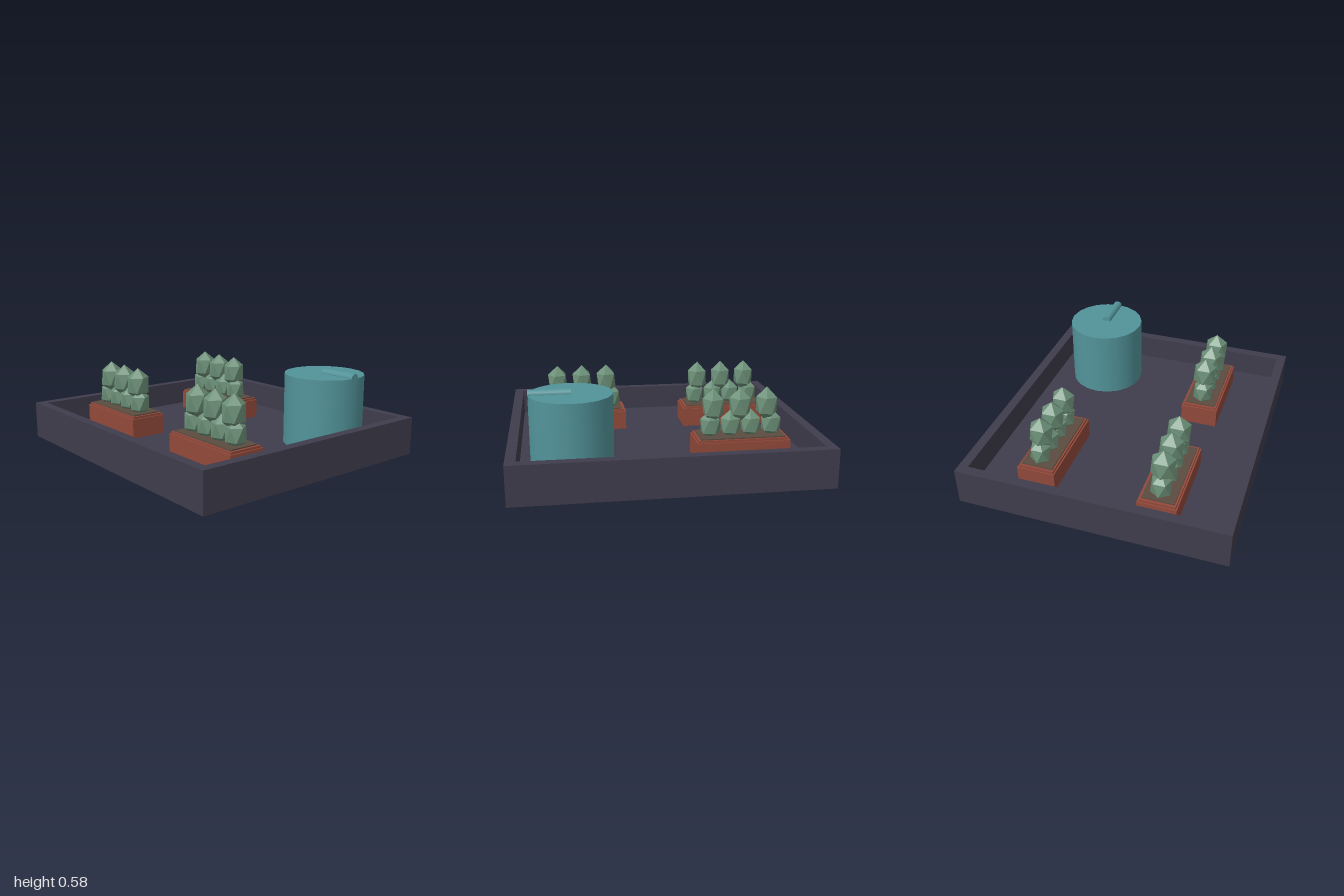
import * as THREE from 'three';

const mat = (name, color, flatShading = false) => {
  const m = new THREE.MeshStandardMaterial({ color, flatShading });
  m.name = name;
  return m;
};

export function createModel() {
  const slate = mat('slate', 0x3f3d4c);
  const teal = mat('teal', 0x52949a);
  const terracotta = mat('terracotta', 0x92493a);
  const soil = mat('soil', 0x5c4c40);
  const leaf = mat('leaf', 0x6c9078, true);

  const root = new THREE.Group();
  root.name = 'rooftopGarden';
  const add = (parent, name, geometry, material, x = 0, y = 0, z = 0) => {
    const mesh = new THREE.Mesh(geometry, material);
    mesh.name = name;
    mesh.position.set(x, y, z);
    parent.add(mesh);
    return mesh;
  };
  // box given by its bottom and top heights
  const slab = (parent, name, w, d, y0, y1, material) =>
    add(parent, name, new THREE.BoxGeometry(w, y1 - y0, d), material, 0, (y0 + y1) / 2, 0);

  // Roof: floor slab inside a parapet frame
  const FLOOR = 0.08;
  const rect = (C, w, d) => {
    const p = new C();
    p.moveTo(-w, -d).lineTo(w, -d).lineTo(w, d).lineTo(-w, d).closePath();
    return p;
  };
  const frame = rect(THREE.Shape, 1, 0.89);
  frame.holes.push(rect(THREE.Path, 0.935, 0.827));
  const parapet = new THREE.ExtrudeGeometry(frame, { depth: 0.255, bevelEnabled: false });
  parapet.rotateX(-Math.PI / 2);
  add(root, 'parapet', parapet, slate);
  slab(root, 'floor', 1.87, 1.654, 0, FLOOR, slate);

  // Water tank with a pipe half sunk into its lid
  add(root, 'waterTank', new THREE.CylinderGeometry(0.265, 0.265, 0.553 - FLOOR, 20),
    teal, 0.598, (0.553 + FLOOR) / 2, -0.447);
  const pipe = new THREE.CylinderGeometry(0.032, 0.032, 0.266, 12).rotateZ(Math.PI / 2);
  add(root, 'tankPipe', pipe, teal, 0.729, 0.553, -0.449);

  // Bush: icosahedron turned so that one corner points up
  const bush = new THREE.IcosahedronGeometry(1, 0);
  bush.rotateX(-Math.atan((1 + Math.sqrt(5)) / 2)).rotateY(Math.PI / 2);

  // Planters: stepped box, soil, a low row and a tall row of bushes
  [[-0.496, -0.427], [-0.56, 0.398], [0.484, 0.398]].forEach(([x, z]) => {
    const planter = new THREE.Group();
    planter.name = 'planter';
    planter.position.set(x, 0, z);
    root.add(planter);
    slab(planter, 'planterBox', 0.612, 0.255, FLOOR, 0.213, terracotta);
    slab(planter, 'planterRim', 0.592, 0.235, 0.213, 0.228, terracotta);
    slab(planter, 'soilBed', 0.556, 0.21, 0.215, 0.236, soil);
    [-0.207, -0.07, 0.065, 0.2].forEach((dx) =>
      add(planter, 'lowBush', bush, leaf, dx, 0.298, 0).scale.set(0.074, 0.1, 0.075));
    [-0.173, 0.005, 0.183].forEach((dx) =>
      add(planter, 'tallBush', bush, leaf, dx, 0.426, 0).scale.set(0.078, 0.117, 0.088));
  });

  return root;
}
